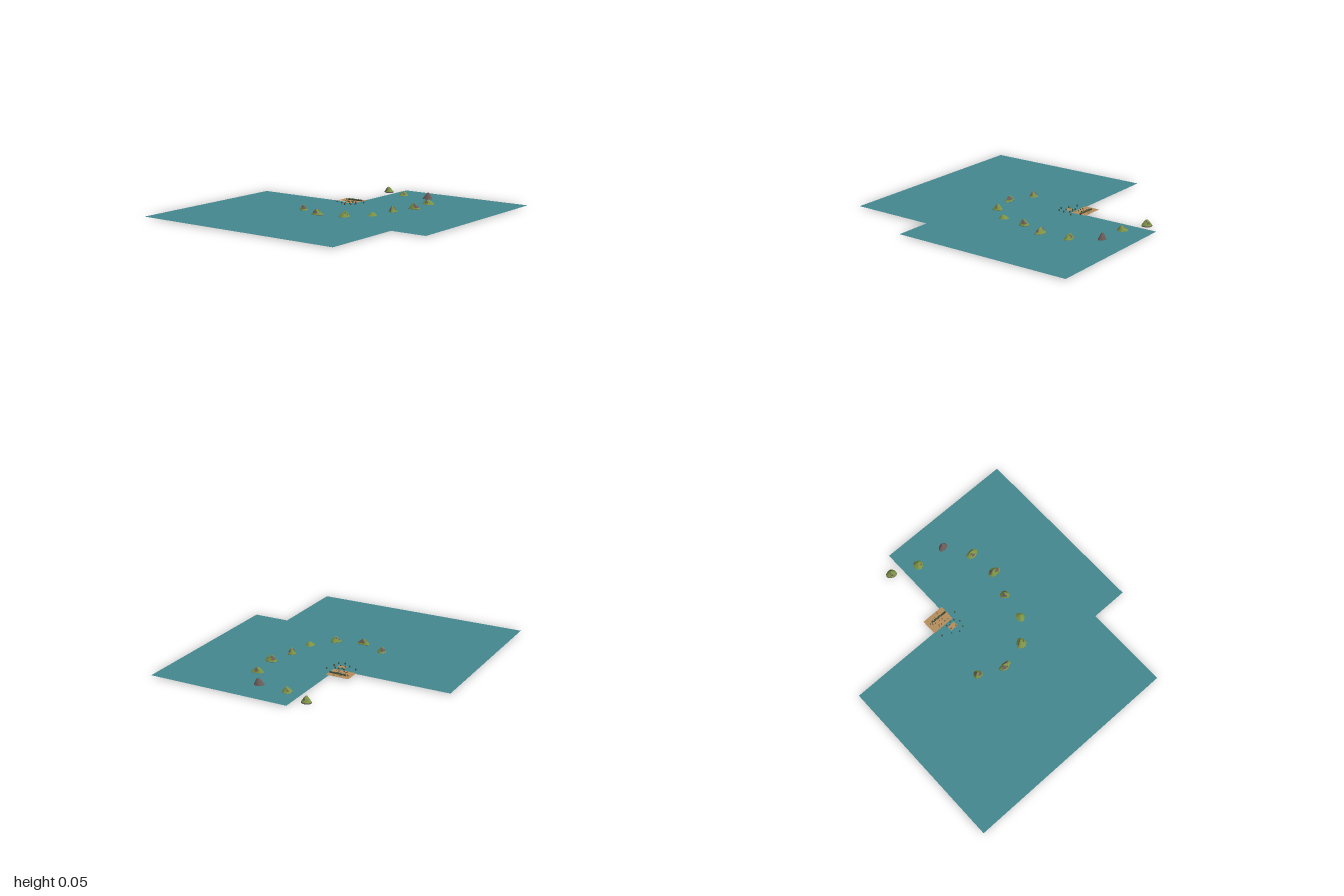
import * as THREE from 'three';

const mat = (name, color, side = THREE.FrontSide) => {
  const m = new THREE.MeshStandardMaterial({ color, side });
  m.name = name;
  return m;
};

export function createModel() {
  const water = mat('water', 0x43868e, THREE.DoubleSide);
  const sand = mat('sand', 0xb28c5c, THREE.DoubleSide);
  const grass = mat('grass', 0x7c9344);
  const rock = mat('rock', 0x6c5c58);
  const wood = mat('dark wood', 0x4c4434);
  const leaf = mat('dark leaf', 0x3f5c40);

  const model = new THREE.Group();
  model.name = 'islandMap';
  const add = (parent, name, geometry, material, x = 0, y = 0, z = 0) => {
    const mesh = new THREE.Mesh(geometry, material);
    mesh.name = name;
    mesh.position.set(x, y, z);
    parent.add(mesh);
    return mesh;
  };

  let seed = 7;
  const random = () => (seed = (seed * 16807) % 2147483647) / 2147483647;

  // Sea: one flat sheet with two corners cut away (shape y is -z)
  const outline = [[-0.97, -0.32], [-0.11, -0.32], [-0.11, -1], [0.965, -1],
    [0.965, 0.365], [0.69, 0.365], [0.69, 1], [-0.97, 1]];
  const sea = new THREE.Shape(outline.map(([x, z]) => new THREE.Vector2(x, -z)));
  add(model, 'sea', new THREE.ShapeGeometry(sea).rotateX(-Math.PI / 2), water, 0, 0.006, 0);

  // Islands: uneven faceted hills with grass and rock bands
  function island(cx, cz, rx, rz, h, rocky, phase) {
    const profile = [[0, 0], [1, 0], [0.96, 0.16], [0.76, 0.38], [0.5, 0.68], [0.22, 0.94], [0, 1]];
    const sides = 14;
    const lathe = new THREE.LatheGeometry(profile.map(([r, y]) => new THREE.Vector2(r, y)), sides);
    const p = lathe.attributes.position;
    for (let i = 0; i < p.count; i++) {
      const x = p.getX(i), y = p.getY(i), z = p.getZ(i);
      const a = Math.atan2(x, z);
      const lump = 0.95 + 0.08 * Math.sin(2 * a + phase) + 0.06 * Math.sin(3 * a + phase * 2);
      p.setXYZ(i, (x * lump + 0.16 * y * Math.sin(phase)) * rx, y * h,
        (z * lump + 0.16 * y * Math.cos(phase)) * rz);
    }
    const geometry = lathe.toNonIndexed();
    geometry.computeVertexNormals();
    const bands = profile.length - 1;
    for (let s = 0; s < sides; s++) {
      for (let b = 0; b < bands; b++) {
        const streak = Math.sin(s * 0.9 + phase * 3 + b) > 1 - rocky * 2;
        const isRock = b < 2 || rocky >= 1 || (b > 2 && b < 5 && streak);
        geometry.addGroup((s * bands + b) * 6, 6, isRock ? 1 : 0);
      }
    }
    add(model, 'island', geometry, [grass, rock], cx, 0, cz);
  }
  [
    [-0.19, -0.88, 0.041, 0.036, 0.045, 0.1],
    [0, -0.8, 0.042, 0.039, 0.04, 0.05],
    [0.23, -0.785, 0.042, 0.028, 0.055, 1],
    [0.355, -0.6, 0.05, 0.036, 0.042, 0.2],
    [0.38, -0.385, 0.05, 0.037, 0.048, 0.5],
    [0.315, -0.2, 0.036, 0.035, 0.05, 0.6],
    [0.28, 0.005, 0.039, 0.038, 0.032, 0],
    [0.15, 0.16, 0.042, 0.042, 0.046, 0.15],
    [-0.05, 0.21, 0.05, 0.031, 0.046, 0.5],
    [-0.238, 0.125, 0.035, 0.036, 0.046, 0.6],
  ].forEach((d, i) => island(...d, i * 1.3));

  // Beach and its small landing
  const sheet = (w, d) => new THREE.PlaneGeometry(w, d).rotateX(-Math.PI / 2);
  add(model, 'beach', sheet(0.175, 0.12), sand, -0.177, 0.01, -0.375);
  add(model, 'landing', sheet(0.06, 0.04), sand, -0.13, 0.014, -0.268);

  // Row of small huts along the beach
  const village = new THREE.Group();
  village.name = 'village';
  model.add(village);
  for (let i = 0; i < 12; i++) {
    const x = -0.215 + i * 0.0107, z = -0.388 + (random() - 0.5) * 0.008;
    add(village, 'hut', new THREE.BoxGeometry(0.008, 0.01, 0.012), i % 3 ? wood : leaf, x, 0.012, z);
    add(village, 'hutRoof', new THREE.ConeGeometry(0.007, 0.006, 4).rotateY(Math.PI / 4),
      i % 2 ? leaf : wood, x, 0.02, z);
  }

  // Bushes scattered over the sand
  for (let i = 0; i < 18; i++) {
    add(village, 'bush', new THREE.IcosahedronGeometry(0.003 + random() * 0.002, 0),
      i % 2 ? leaf : wood, -0.245 + random() * 0.14, 0.012, -0.425 + random() * 0.1);
  }

  // Mooring posts and floats off the beach
  const posts = [[-0.235, -0.265], [-0.17, -0.235], [-0.12, -0.205], [-0.075, -0.22],
    [-0.065, -0.265], [-0.045, -0.34], [-0.09, -0.3], [-0.15, -0.262], [-0.11, -0.255],
    [-0.14, -0.29], [-0.16, -0.3], [-0.12, -0.305]];
  posts.forEach(([x, z], i) => add(village, 'mooringPost',
    new THREE.CylinderGeometry(0.005, 0.006, 0.011, 6), i % 2 ? leaf : wood, x, 0.0135, z));

  return model;
}
